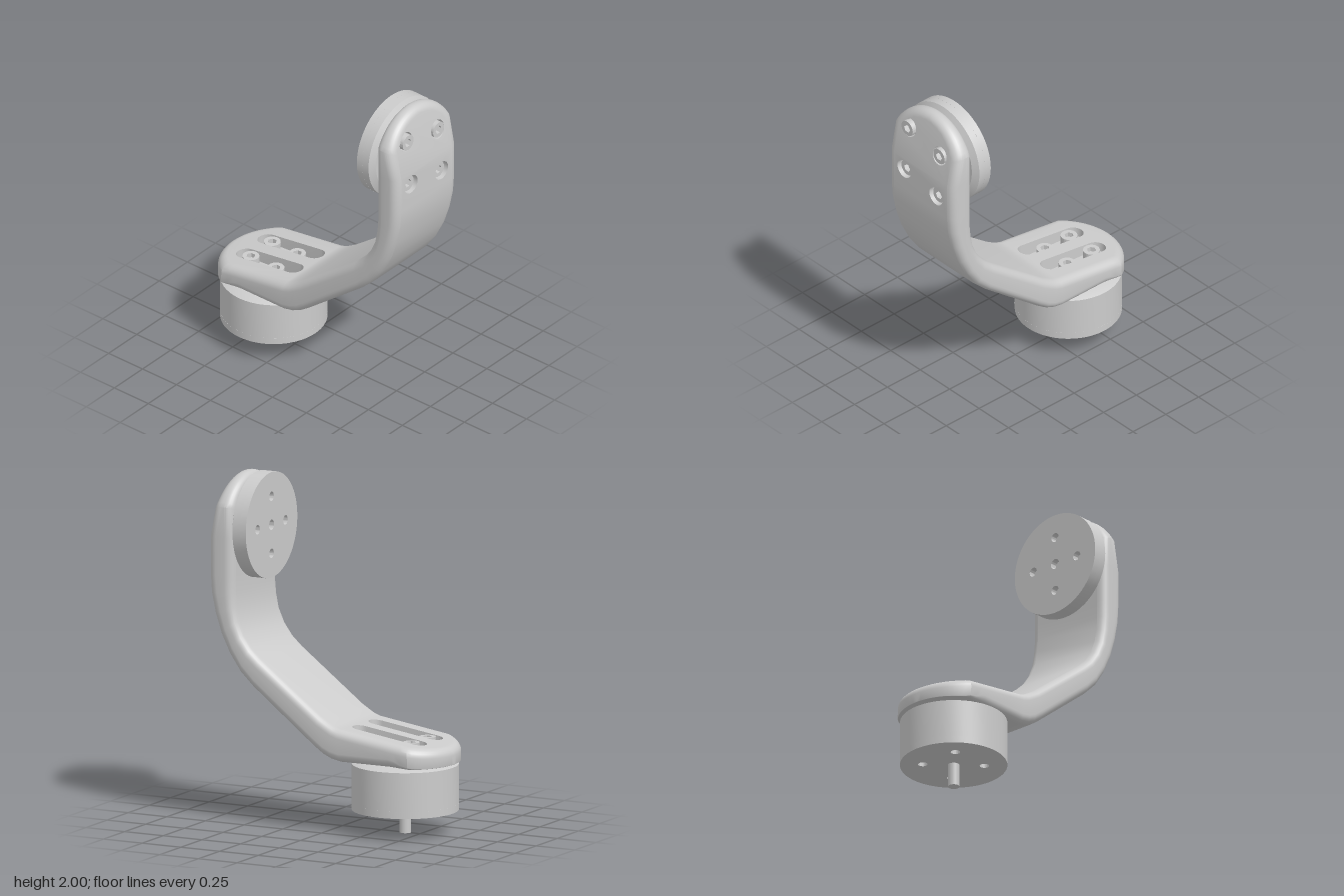
import * as THREE from 'three';
import { toCreasedNormals, mergeGeometries } from 'three/addons/utils/BufferGeometryUtils.js';

const material = new THREE.MeshStandardMaterial({ color: 0xcccccc });
const clamp = THREE.MathUtils.clamp;

// Arm side profile: upper/inner edge x, y and lower/outer edge x, y
const ROWS = [
  [-0.72, 0.518, -0.72, 0.42], [-0.11, 0.607, -0.12, 0.42], [-0.07, 0.622, -0.06, 0.432],
  [-0.03, 0.645, -0.01, 0.454], [0.01, 0.67, 0.05, 0.495], [0.40, 0.965, 0.44, 0.80],
  [0.46, 1.02, 0.525, 0.88], [0.51, 1.09, 0.595, 0.98], [0.545, 1.17, 0.65, 1.09],
  [0.56, 1.25, 0.69, 1.21], [0.567, 1.33, 0.715, 1.33], [0.567, 1.43, 0.722, 1.43],
  [0.567, 1.65, 0.722, 1.65], [0.567, 2.0, 0.655, 2.0],
];
const HALF_WIDTH = 0.275;

// Distance along the arm at each profile row
const S = [-0.72];
for (let i = 1; i < ROWS.length; i++) {
  const [a, b] = [ROWS[i - 1], ROWS[i]];
  S.push(S[i - 1] + Math.hypot(b[0] + b[2] - a[0] - a[2], b[1] + b[3] - a[1] - a[3]) / 2);
}
const END = S[S.length - 1];
const alongFromY = (y) => END - (2 - y);

function edgesAt(s) {
  let i = 1;
  while (i < S.length - 1 && s > S[i]) i++;
  const u = (s - S[i - 1]) / (S[i] - S[i - 1]);
  return ROWS[i].map((v, j) => ROWS[i - 1][j] + (v - ROWS[i - 1][j]) * u);
}
function thickness(s) {
  const [ax, ay, bx, by] = edgesAt(s);
  return Math.hypot(ax - bx, ay - by);
}
// (along, across, through the thickness) to a point in space
function place(s, z, t) {
  const [ax, ay, bx, by] = edgesAt(s);
  return [bx + (ax - bx) * t, by + (ay - by) * t, z];
}

function geometryFrom(positions) {
  const g = new THREE.BufferGeometry();
  g.setAttribute('position', new THREE.Float32BufferAttribute(positions, 3));
  return g;
}

function buildArm() {
  const pos = [];
  const tri = (...p) => p.forEach((v) => pos.push(...v));
  const quad = (a, b, c, d) => { tri(a, b, c); tri(a, c, d); };

  // Stations: round lower end, bends, round upper end
  const R0 = 0.32, C0 = -0.4, R1 = 0.305, C1 = END - R1, N = 12;
  const stations = [];
  for (let j = 0; j <= N; j++) {
    stations.push(C0 - R0 * Math.cos(Math.asin(HALF_WIDTH / R0) * j / N));
    stations.push(C1 + R1 * Math.cos(Math.asin(HALF_WIDTH / R1) * j / N));
  }
  stations.push(-0.52, -0.48, -0.44, -0.4, ...S.slice(1, -1));
  stations.sort((a, b) => a - b);
  const last = stations.length - 1;

  // Layers through the thickness, inset to round the edges
  const F = 6, layers = [];
  for (let k = 0; k <= F; k++) layers.push([k / F * Math.PI / 2, false]);
  for (let k = F; k >= 0; k--) layers.push([k / F * Math.PI / 2, true]);
  const top = layers.length - 1;
  const grid = layers.map(([angle, upper]) => stations.map((s0) => {
    let r = Math.min(0.05, 0.45 * thickness(s0));
    if (!upper) r *= clamp((s0 + 0.62) / 0.17, 0.04, 1);
    const d = r * (1 - Math.sin(angle)), depth = r * (1 - Math.cos(angle));
    let s = s0, w = HALF_WIDTH - d;
    if (s0 < C0) {
      s = C0 - (C0 - s0) * (R0 - d) / R0;
      w = Math.min(w, Math.sqrt(Math.max(0, (R0 - d) ** 2 - (s - C0) ** 2)));
    } else if (s0 > C1) {
      s = C1 + (s0 - C1) * (R1 - d) / R1;
      w = Math.min(w, Math.sqrt(Math.max(0, (R1 - d) ** 2 - (s - C1) ** 2)));
    }
    if (w < 1e-5) w = 0;
    const t = depth / thickness(s);
    return { s, w, t: upper ? 1 - t : t };
  }));
  const at = (k, i, side) => place(grid[k][i].s, side * grid[k][i].w, grid[k][i].t);

  // Rounded rim on both sides
  for (let k = 0; k < top; k++) for (let i = 0; i < last; i++) {
    quad(at(k, i, 1), at(k, i + 1, 1), at(k + 1, i + 1, 1), at(k + 1, i, 1));
    quad(at(k, i, -1), at(k + 1, i, -1), at(k + 1, i + 1, -1), at(k, i + 1, -1));
  }

  // Flat panel with stepped pockets; each pocket is a list of { pts, t }
  const fill = (outline, t, sign, pockets) => {
    const shape = new THREE.Shape(outline);
    shape.holes = pockets.map((p) => new THREE.Path(p[0].pts));
    const g = new THREE.ShapeGeometry(shape).toNonIndexed();
    const p = g.attributes.position;
    for (let i = 0; i < p.count; i++) pos.push(...place(p.getX(i), sign * p.getY(i), t));
    for (const [step, ...rest] of pockets) {
      step.pts.forEach((a, i) => {
        const b = step.pts[(i + 1) % step.pts.length];
        const v = (q, tt) => place(q.x, sign * q.y, tt);
        quad(v(a, t), v(b, t), v(b, step.t), v(a, step.t));
      });
      fill(step.pts, step.t, sign, rest.length ? [rest] : []);
    }
  };
  const panel = (k, a, b, pockets = []) => {
    const sign = k === 0 ? 1 : -1, right = [], left = [];
    for (let i = a; i <= b; i++) {
      const { s, w } = grid[k][i];
      right.push(new THREE.Vector2(s, -w));
      if (w > 0) left.unshift(new THREE.Vector2(s, w));
    }
    fill([...right, ...left], k === 0 ? 0 : 1, sign, pockets);
  };

  // Rounded slot outline, counter-clockwise
  const slot = (s0, s1, q, r) => {
    const pts = [];
    for (let j = 0; j < 24; j++) {
      const a = -Math.PI / 2 + (j < 12 ? j / 11 : 1 + (j - 12) / 11) * Math.PI;
      pts.push(new THREE.Vector2((j < 12 ? s1 - r : s0 + r) + r * Math.cos(a), q + r * Math.sin(a)));
    }
    return pts;
  };
  const bore = (y, z) => [{
    t: 0.4,
    pts: Array.from({ length: 24 }, (_, j) => new THREE.Vector2(
      alongFromY(y) + 0.057 * Math.cos(j * Math.PI / 12), z + 0.057 * Math.sin(j * Math.PI / 12))),
  }];

  // Upper face with adjustment slots, outer face with screw recesses
  const flat = stations.indexOf(S[1]);
  const p0 = stations.indexOf(S[11]), p1 = stations.indexOf(S[12]);
  panel(top, 0, flat, [-0.095, 0.095].map((q) => [
    { pts: slot(-0.59, -0.125, q, 0.053), t: 0.5 },
    { pts: slot(-0.565, -0.15, q, 0.023), t: 0.03 },
  ]));
  for (let i = flat; i < last; i++) panel(top, i, i + 1);
  for (let i = 0; i < p0; i++) panel(0, i, i + 1);
  panel(0, p0, p1, [bore(1.575, 0.138), bore(1.53, -0.132)]);
  panel(0, p1, last, [bore(1.85, 0.138), bore(1.80, -0.132)]);

  return toCreasedNormals(geometryFrom(pos), 0.5);
}

// Solid of revolution about z from [radius, z] points
function turned(points, segments) {
  const g = new THREE.LatheGeometry(points.map(([r, z]) => new THREE.Vector2(r, z)), segments);
  return g.rotateX(Math.PI / 2);
}
function join(...list) {
  return toCreasedNormals(mergeGeometries(list.map((g) => {
    const n = g.index ? g.toNonIndexed() : g;
    return geometryFrom(Array.from(n.attributes.position.array));
  })), 0.5);
}

// Drum whose drilled face looks along +z
function drum(radius, length, chamfer, backRadius, holes) {
  const drill = 0.04;
  const face = new THREE.Shape().absarc(0, 0, radius, 0, Math.PI * 2);
  for (const [x, y, r] of holes) face.holes.push(new THREE.Path().absarc(x, y, r, 0, Math.PI * 2, true));
  const plate = new THREE.ExtrudeGeometry(face, { depth: drill, bevelEnabled: false, curveSegments: 48 });
  plate.translate(0, 0, -drill);
  return join(plate, turned([[0, -length], [backRadius, -length], [radius, chamfer - length],
    [radius, -drill], [0, -drill]], 48));
}

// Socket-head screw, top of the head at z = 0
function screwGeometry() {
  const head = new THREE.Shape().absarc(0, 0, 0.048, 0, Math.PI * 2);
  head.holes.push(new THREE.Path(Array.from({ length: 6 }, (_, i) =>
    new THREE.Vector2(0.026 * Math.cos(i * Math.PI / 3), 0.026 * Math.sin(i * Math.PI / 3)))));
  const ring = new THREE.ExtrudeGeometry(head, { depth: 0.028, bevelEnabled: false, curveSegments: 24 });
  ring.translate(0, 0, -0.028);
  return join(ring, turned([[0, -0.12], [0.02, -0.12], [0.02, -0.06], [0.048, -0.06],
    [0.048, -0.028], [0, -0.028]], 24));
}

export function createModel() {
  const model = new THREE.Group();
  const add = (name, geometry, position, rotation = [0, 0, 0]) => {
    const mesh = new THREE.Mesh(geometry, material);
    mesh.name = name;
    mesh.position.set(...position);
    mesh.rotation.set(...rotation);
    model.add(mesh);
  };
  const ringOf = (radius, start, r) => [0, 1, 2, 3].map((i) => {
    const a = start + i * Math.PI / 2;
    return [radius * Math.cos(a), radius * Math.sin(a), r];
  });

  add('arm', buildArm(), [0, 0, 0]);

  // Base drum with its shaft, and the upper mounting disc
  add('baseDrum', drum(0.305, 0.287, 0.022, 0.25, ringOf(0.175, Math.PI / 4, 0.027)),
    [-0.405, 0.135, 0], [Math.PI / 2, 0, 0]);
  add('shaft', new THREE.CylinderGeometry(0.033, 0.033, 0.16, 24), [-0.405, 0.08, 0]);
  add('mountingDisc', drum(0.305, 0.108, 0.022, 0.265, [[0, 0, 0.03], ...ringOf(0.165, 0, 0.027)]),
    [0.46, 1.695, 0], [0, -Math.PI / 2, 0]);

  // Screws in the slots and in the outer recesses
  const screw = screwGeometry();
  for (const x of [-0.495, -0.31]) for (const z of [-0.095, 0.095])
    add('slotScrew', screw, [x, 0.546, z], [-Math.PI / 2, 0, 0]);
  for (const [y, z] of [[1.85, 0.138], [1.575, 0.138], [1.80, -0.132], [1.53, -0.132]])
    add('armScrew', screw, [0.70, y, z], [0, Math.PI / 2, 0]);

  return model;
}
